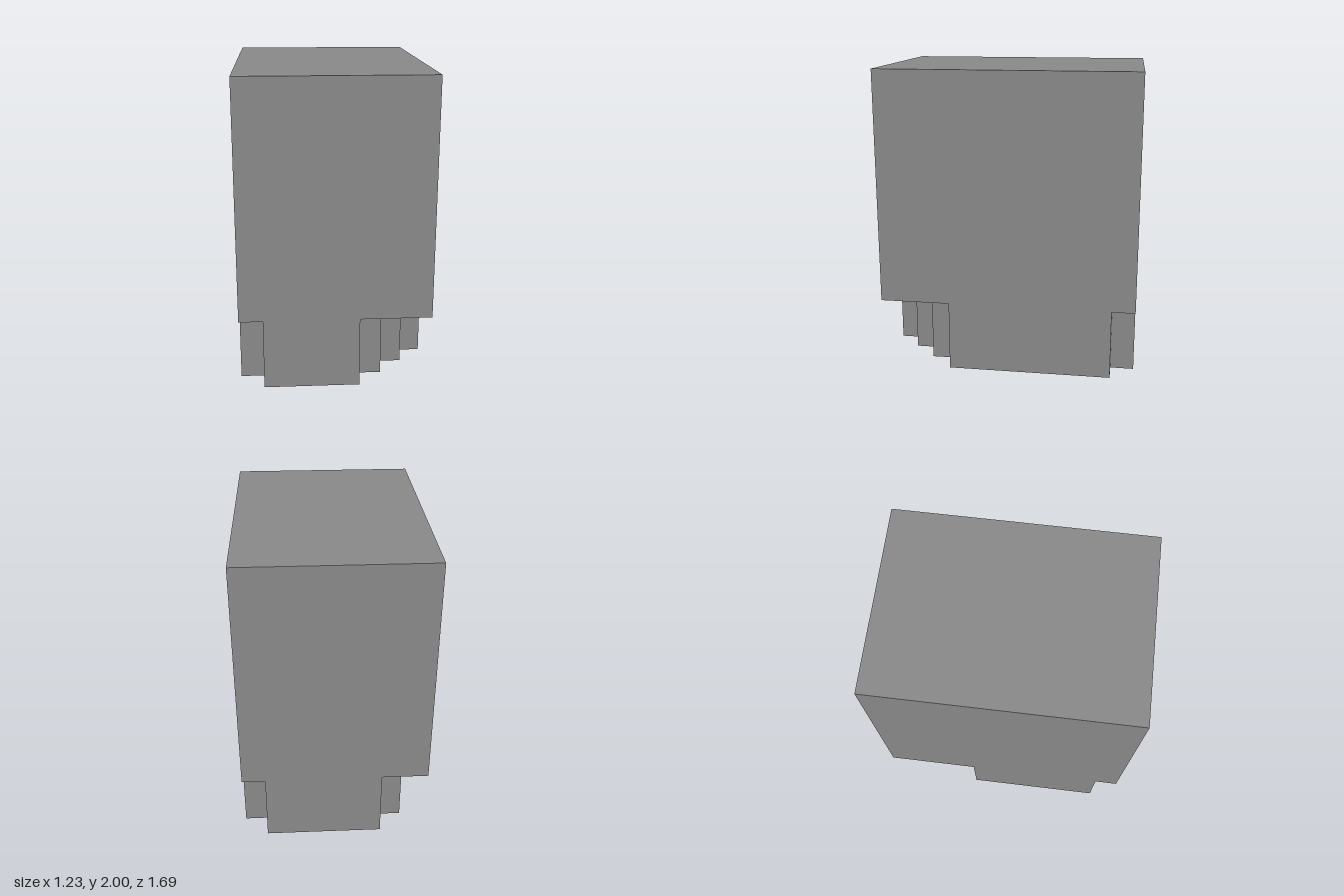
import * as THREE from 'three';

const CELL = 2 / 13; // the block is 8 x 13 x 11 cells
const W = 8, D = 11, H = 13, BASE_H = 3;

// Base outline in cells from the back (-z) left (-x) corner, as [x, z]
const OUTLINE = [
  [2, 0], [7, 0], [7, 1], [8, 1],                                 // single notch at back +x
  [8, 8], [7, 8], [7, 9], [6, 9], [6, 10], [5, 10], [5, 11],      // three steps at front +x
  [1, 11], [1, 10], [0, 10],                                      // single notch at front -x
  [0, 4], [1, 4], [1, 1], [2, 1],                                 // long stepped notch at back -x
];

export function createModel() {
  const group = new THREE.Group();
  group.name = 'notchedBlock';
  const grey = new THREE.MeshStandardMaterial({ color: 0x888888 });
  grey.name = 'grey';

  // Full block above the notches
  const bodyH = (H - BASE_H) * CELL;
  const body = new THREE.Mesh(new THREE.BoxGeometry(W * CELL, bodyH, D * CELL), grey);
  body.name = 'upperBlock';
  body.position.y = BASE_H * CELL + bodyH / 2;
  group.add(body);

  // Base with stepped corners, extruded upwards
  const shape = new THREE.Shape(
    OUTLINE.map(([x, z]) => new THREE.Vector2((x - W / 2) * CELL, (D / 2 - z) * CELL))
  );
  const baseGeo = new THREE.ExtrudeGeometry(shape, { depth: BASE_H * CELL, bevelEnabled: false });
  baseGeo.rotateX(-Math.PI / 2);
  const base = new THREE.Mesh(baseGeo, grey);
  base.name = 'steppedBase';
  group.add(base);

  return group;
}
